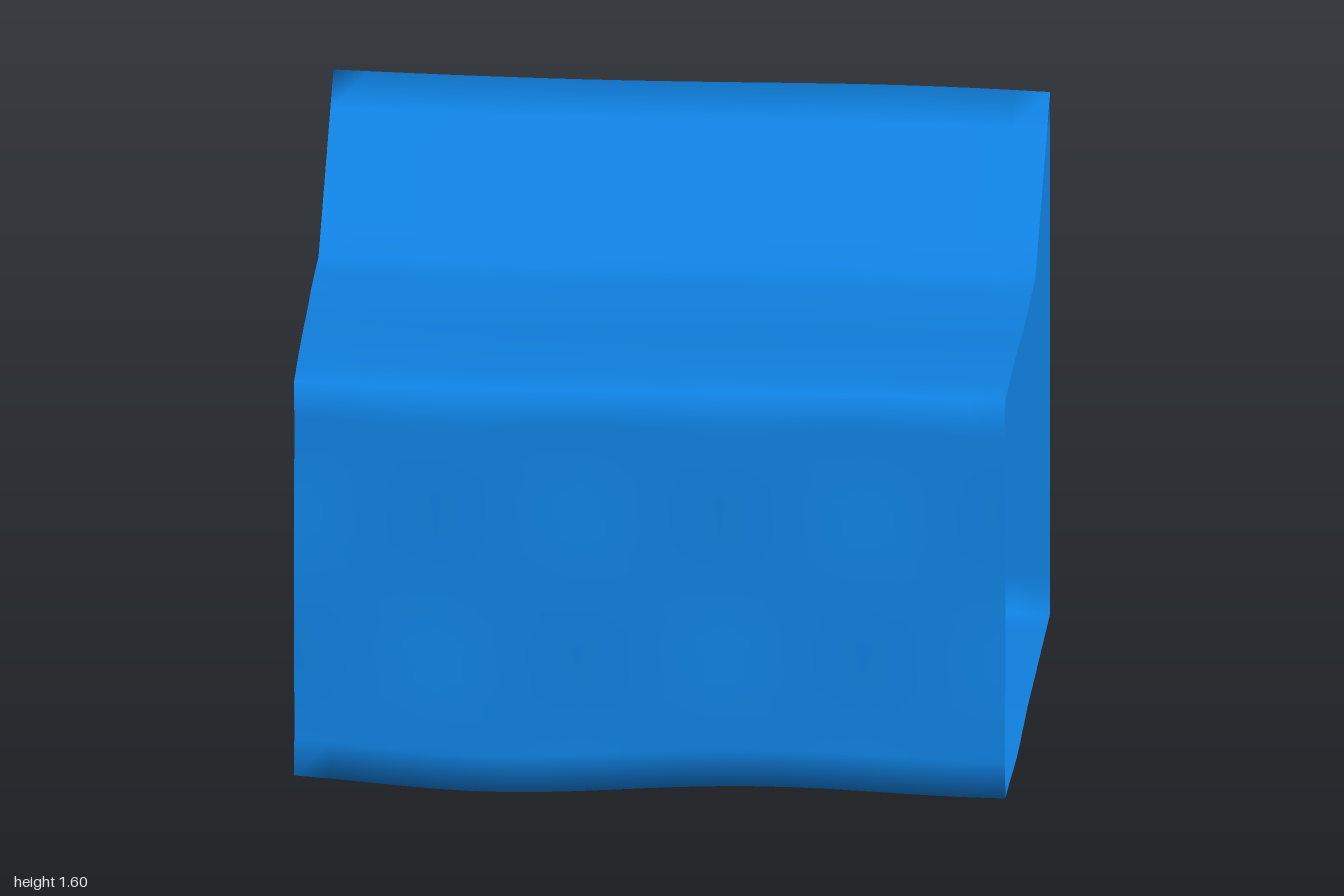
import * as THREE from 'three';

// Side outline as [z, y], starting at the front bottom edge and going up
const OUTLINE = [[0.66, 0.04], [0.66, 1.23], [-0.225, 1.23], [-0.67, 1.607], [-0.67, 0.04]];
const STEP = 0.11;
const COLUMNS = 20;

// Gentle dents: every panel and its shared edges move by the same rule
function dent(x, y, z) {
  const high = y > 0.6 ? 1 : 0;
  const front = z > -0.2 ? 1 : 0;
  let dy = 0.009 * Math.sin(2.6 * x - 0.1);
  if (front) {
    const fade = Math.min(1, (z + 0.2) / 0.3);
    dy += fade * (high
      ? 0.008 * Math.cos(7 * (z - 0.45)) + 0.007 * x * z
      : 0.010 * Math.sin(9 * z + 2 * x) - 0.010 * Math.cos(5 * (x + 0.4)));
  }
  const dz = z > 0.5
    ? 0.006 + 0.007 * Math.cos(7.8 * (x + 0.6)) * Math.cos(7.4 * (y - 0.22))
    : z < -0.6 ? -0.004 * Math.sin(5 * y - 1) * Math.cos(5 * (x + 0.6)) : 0;
  return [dy, dz];
}

// Subdivide the closed outline into evenly spaced rows
function outlineRows() {
  const rows = [];
  OUTLINE.forEach(([z0, y0], i) => {
    const [z1, y1] = OUTLINE[(i + 1) % OUTLINE.length];
    const n = Math.round(Math.hypot(z1 - z0, y1 - y0) / STEP);
    for (let k = 0; k < n; k++) {
      rows.push([z0 + (z1 - z0) * k / n, y0 + (y1 - y0) * k / n]);
    }
  });
  return rows;
}

// Thin sleeve, open at both ends
function sleeveGeometry() {
  const rows = outlineRows();
  const positions = [];
  const index = [];
  const stride = COLUMNS + 1;
  rows.forEach(([z, y], r) => {
    const next = (r + 1) % rows.length;
    for (let c = 0; c <= COLUMNS; c++) {
      const u = -1 + 2 * c / COLUMNS;
      const [dy, dz] = dent(u, y, z);
      // slightly uneven open ends
      const trim = u < 0 ? 0.015 * Math.max(0, z) / 0.66 : 0.006;
      positions.push(u * (1 - trim), y + dy, z + dz);
      if (c < COLUMNS) {
        const a = r * stride + c;
        const d = next * stride + c;
        index.push(a, a + 1, d + 1, a, d + 1, d);
      }
    }
  });
  const geometry = new THREE.BufferGeometry();
  geometry.setAttribute('position', new THREE.Float32BufferAttribute(positions, 3));
  geometry.setIndex(index);
  geometry.computeVertexNormals();
  // stand on the ground, centred
  geometry.computeBoundingBox();
  const box = geometry.boundingBox;
  geometry.translate(-(box.min.x + box.max.x) / 2, -box.min.y, -(box.min.z + box.max.z) / 2);
  return geometry;
}

export function createModel() {
  const blue = new THREE.MeshStandardMaterial({ color: 0x0f7fdd, side: THREE.DoubleSide });
  blue.name = 'blue';
  const group = new THREE.Group();
  group.name = 'openSleeve';
  const shell = new THREE.Mesh(sleeveGeometry(), blue);
  shell.name = 'shell';
  group.add(shell);
  return group;
}
